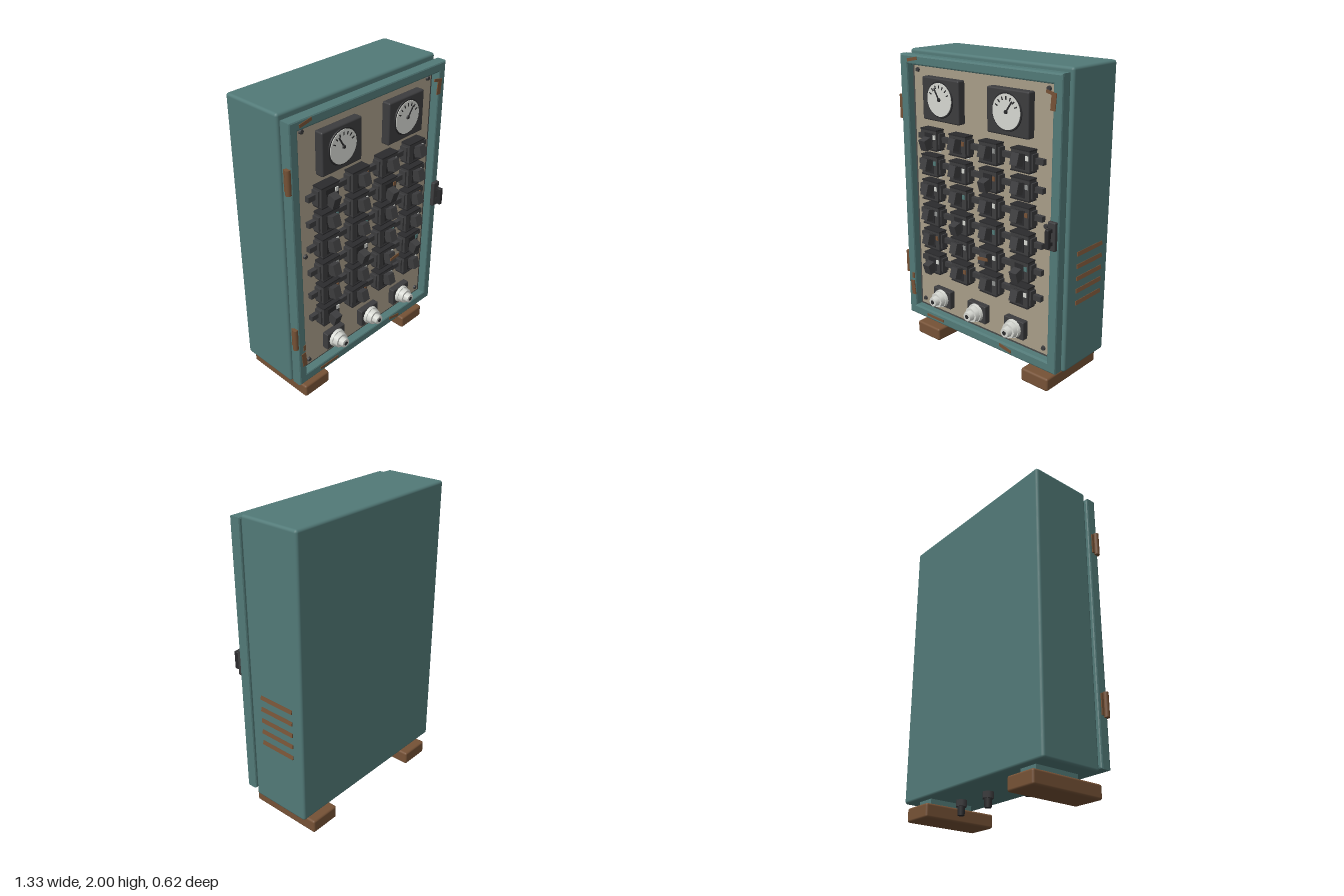
import * as THREE from 'three';
import { RoundedBoxGeometry } from 'three/addons/geometries/RoundedBoxGeometry.js';

const mat = (name, color) => {
  const m = new THREE.MeshStandardMaterial({ color });
  m.name = name;
  return m;
};

export function createModel() {
  const M = {
    teal: mat('teal paint', 0x527a78),
    beige: mat('beige panel', 0xa89d88),
    dark: mat('dark plastic', 0x3c3c3e),
    black: mat('black plastic', 0x2b2b2d),
    seal: mat('rubber seal', 0x474a49),
    white: mat('off white', 0xd6d8d2),
    brown: mat('brown rust', 0x765236),
    steel: mat('grey steel', 0x8f9290),
  };
  const root = new THREE.Group();

  const add = (parent, name, geo, m, x, y, z) => {
    const mesh = new THREE.Mesh(geo, m);
    mesh.name = name;
    mesh.position.set(x, y, z);
    parent.add(mesh);
    return mesh;
  };
  const box = (p, name, w, h, d, m, x, y, z) =>
    add(p, name, new THREE.BoxGeometry(w, h, d), m, x, y, z);
  const round = (p, name, w, h, d, r, m, x, y, z) =>
    add(p, name, new RoundedBoxGeometry(w, h, d, 2, r), m, x, y, z);
  // Cylinder whose axis points to the front
  const disc = (p, name, r0, r1, depth, sides, m, x, y, z) =>
    add(p, name, new THREE.CylinderGeometry(r1, r0, depth, sides).rotateX(Math.PI / 2), m, x, y, z);
  const group = (name, x, y, z) => {
    const g = new THREE.Group();
    g.name = name;
    g.position.set(x, y, z);
    root.add(g);
    return g;
  };

  // Cabinet and seal behind the door
  round(root, 'cabinet', 1.3, 1.87, 0.42, 0.018, M.teal, 0.005, 1.065, -0.083);
  box(root, 'doorSeal', 1.18, 1.72, 0.03, M.seal, 0.005, 1.08, 0.138);

  // Door: bevelled frame around a recessed panel
  const rect = (P, x0, y0, x1, y1) => {
    const s = new P();
    s.moveTo(x0, y0); s.lineTo(x1, y0); s.lineTo(x1, y1); s.lineTo(x0, y1); s.closePath();
    return s;
  };
  const frame = rect(THREE.Shape, -0.635, 0.165, 0.64, 1.965);
  frame.holes.push(rect(THREE.Path, -0.593, 0.212, 0.598, 1.922));
  add(root, 'doorFrame', new THREE.ExtrudeGeometry(frame, {
    depth: 0.05, bevelEnabled: true, bevelSize: 0.01, bevelThickness: 0.012, bevelSegments: 2,
  }), M.teal, 0, 0, 0.157);
  box(root, 'panelSeal', 1.19, 1.71, 0.012, M.seal, 0.003, 1.067, 0.159);
  box(root, 'panel', 1.125, 1.665, 0.018, M.beige, 0.003, 1.073, 0.165);
  const Z = 0.174;

  // Panel screws
  for (const x of [-0.525, 0.53]) for (const y of [0.28, 1.08, 1.88])
    disc(root, 'panelScrew', 0.016, 0.013, 0.014, 8, M.dark, x, y, Z + 0.006);

  // Dial gauges
  [[-0.27, 0.53], [0.275, -0.62]].forEach(([x, angle]) => {
    const g = group('gauge', x, 1.72, Z);
    round(g, 'gaugeCase', 0.315, 0.27, 0.06, 0.01, M.dark, 0, 0, 0.03);
    disc(g, 'gaugeRim', 0.115, 0.112, 0.006, 28, M.black, 0, 0.005, 0.062);
    disc(g, 'gaugeFace', 0.104, 0.104, 0.006, 28, M.white, 0, 0.005, 0.066);
    for (let i = 0; i < 7; i++) {
      const a = (i - 3) * 0.38;
      const t = box(g, 'gaugeTick', 0.007, 0.02, 0.003, M.black,
        -Math.sin(a) * 0.08, 0.005 + Math.cos(a) * 0.08, 0.07);
      t.rotation.z = a;
    }
    const n = box(g, 'gaugeNeedle', 0.009, 0.09, 0.004, M.black,
      -Math.sin(angle) * 0.033, 0.005 + Math.cos(angle) * 0.033, 0.072);
    n.rotation.z = angle;
    disc(g, 'gaugeHub', 0.013, 0.01, 0.008, 10, M.black, 0, 0.005, 0.073);
  });

  // Rows of breakers on rails; a few are switched off
  const off = ['0,0', '1,2', '3,1', '4,3', '5,0'];
  const lamps = [M.white, M.white, M.brown, M.teal, M.steel];
  for (let r = 0; r < 6; r++) {
    const y = 1.46 - r * 0.17;
    box(root, 'rail', 1.03, 0.034, 0.03, M.dark, 0.005, y + 0.003, Z + 0.015);
    for (let c = 0; c < 4; c++) {
      const g = group('breaker', -0.376 + c * 0.2525, y, Z);
      const down = off.includes(`${r},${c}`) ? -1 : 1;
      box(g, 'breakerBase', 0.162, 0.095, 0.05, M.dark, 0, -0.004, 0.025);
      box(g, 'breakerBody', 0.138, 0.128, 0.066, M.dark, 0, 0, 0.033);
      for (const s of [-1, 1])
        box(g, 'breakerRim', 0.144, 0.008, 0.07, M.black, 0, s * 0.064, 0.035);
      box(g, 'leverSlot', 0.07, 0.092, 0.004, M.black, 0, -0.003, 0.067);
      const lever = box(g, 'lever', 0.055, 0.072, 0.055, M.dark, 0, down * 0.018 - 0.006, 0.094);
      lever.rotation.x = -down * 0.3;
      box(g, 'breakerLamp', 0.022, 0.028, 0.006, lamps[(r * 3 + c * 2) % 5], 0.05, 0.02, 0.068);
      box(g, 'breakerLabel', 0.09, 0.022, 0.008, M.white, 0, -0.077, 0.004);
    }
  }

  // Rotary knobs
  for (const x of [-0.318, 0.002, 0.322]) {
    const g = group('knob', x, 0.36, Z);
    round(g, 'knobPlate', 0.16, 0.125, 0.045, 0.006, M.dark, 0, 0, 0.0225);
    disc(g, 'knobSkirt', 0.062, 0.058, 0.02, 16, M.white, 0, 0, 0.055);
    disc(g, 'knobGrip', 0.055, 0.05, 0.035, 8, M.white, 0, 0, 0.08);
    disc(g, 'knobTop', 0.036, 0.031, 0.036, 8, M.white, 0, 0, 0.114);
    disc(g, 'knobCap', 0.014, 0.014, 0.005, 8, M.black, 0, 0, 0.133);
  }

  // Door handle
  const h = group('handle', 0.617, 1.055, 0.217);
  round(h, 'handlePlate', 0.055, 0.175, 0.028, 0.006, M.dark, 0, 0, 0.012);
  for (const s of [-1, 1]) box(h, 'handlePost', 0.022, 0.022, 0.04, M.black, 0, s * 0.04, 0.04);
  round(h, 'handleGrip', 0.028, 0.12, 0.03, 0.007, M.black, 0, -0.005, 0.056);

  // Hinges
  for (const y of [0.54, 1.635]) {
    add(root, 'hingePin', new THREE.CylinderGeometry(0.018, 0.018, 0.155, 10), M.brown, -0.653, y, 0.203);
    box(root, 'hingeLeaf', 0.02, 0.135, 0.04, M.brown, -0.642, y, 0.188);
  }

  // Side vents
  for (let i = 0; i < 5; i++) {
    const v = box(root, 'vent', 0.012, 0.026, 0.255, M.brown, 0.656, 0.575 + i * 0.08, -0.092);
    v.rotation.z = 0.2;
  }

  // Feet and cable glands
  for (const s of [-1, 1]) {
    box(root, 'footPost', 0.125, 0.06, 0.31, M.teal, s * 0.48, 0.11, -0.095);
    round(root, 'foot', 0.212, 0.09, 0.515, 0.014, M.brown, s * 0.48, 0.045, -0.053);
  }
  for (const x of [-0.29, 0.07, 0.335]) {
    add(root, 'glandNut', new THREE.CylinderGeometry(0.037, 0.037, 0.045, 6), M.dark, x, 0.112, -0.08);
    add(root, 'glandStem', new THREE.CylinderGeometry(0.025, 0.022, 0.06, 8), M.black, x, 0.065, -0.08);
  }

  // Rust patches: x, y, width, height, tilt, z
  [[-0.53, 1.948, 0.09, 0.02, 0.2, 0.22], [0.595, 1.82, 0.034, 0.1, -0.08, 0.22],
    [0.568, 1.868, 0.05, 0.018, -0.2, 0.22], [-0.602, 0.355, 0.034, 0.105, 0.1, 0.22],
    [-0.597, 0.447, 0.02, 0.04, 0, 0.22], [-0.385, 0.187, 0.16, 0.018, 0, 0.22],
    [0.255, 0.192, 0.1, 0.022, -0.2, 0.22], [0.14, 0.803, 0.08, 0.02, 0.1, 0.3],
  ].forEach(([x, y, w, hgt, tilt, z]) => {
    box(root, 'rustPatch', w, hgt, 0.006, M.brown, x, y, z).rotation.z = tilt;
  });

  return root;
}
